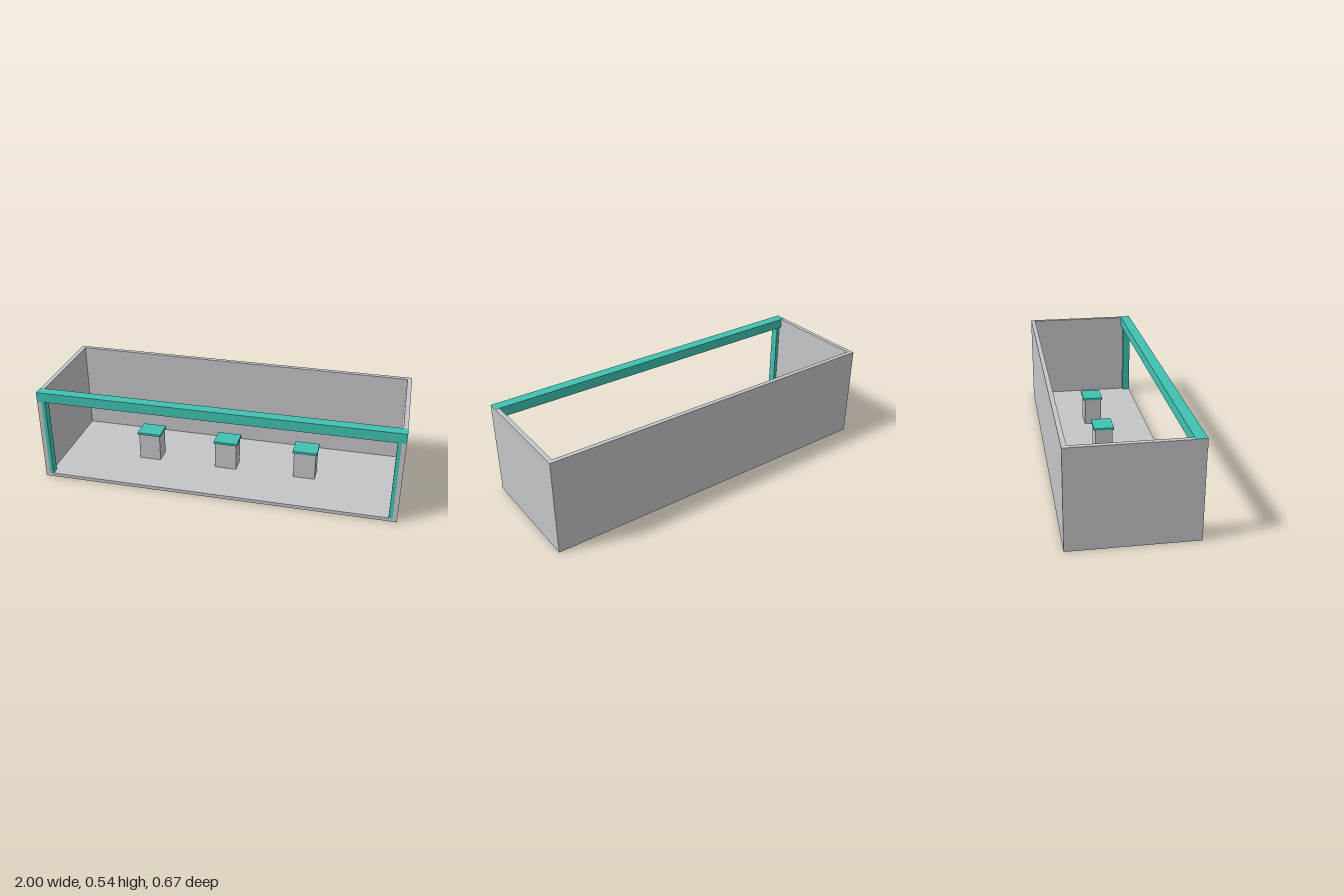
import * as THREE from 'three';

export function createModel() {
  const model = new THREE.Group();
  model.name = 'displayBooth';

  const grey = new THREE.MeshStandardMaterial({ color: 0xc4c5c9 });
  grey.name = 'wall grey';
  const teal = new THREE.MeshStandardMaterial({ color: 0x40c2b2 });
  teal.name = 'trim teal';

  // Box given by its minimum and maximum corners
  function box(name, material, [x0, y0, z0], [x1, y1, z1], parent = model) {
    const mesh = new THREE.Mesh(new THREE.BoxGeometry(x1 - x0, y1 - y0, z1 - z0), material);
    mesh.position.set((x0 + x1) / 2, (y0 + y1) / 2, (z0 + z1) / 2);
    mesh.name = name;
    parent.add(mesh);
    return mesh;
  }

  const H = 0.535, D = 0.333, T = 0.025, FLOOR = 0.02;

  // Open-topped shell with an open front
  box('floor', grey, [-1, 0, -D], [1, FLOOR, D]);
  box('backWall', grey, [-1 + T, FLOOR, -D], [1 - T, H, -D + T]);

  for (const side of [-1, 1]) {
    const label = side > 0 ? 'left' : 'right';
    const span = (a, b) => [Math.min(a * side, b * side), Math.max(a * side, b * side)];

    // Side wall
    const [w0, w1] = span(1 - T, 1);
    box(label + 'Wall', grey, [w0, FLOOR, -D], [w1, H, D]);

    // Front post against the inside of the wall
    const [p0, p1] = span(0.955, 1 - T);
    box(label + 'Post', teal, [p0, FLOOR, D - 0.045], [p1, 0.48, D]);
  }

  // Fascia beam across the top of the opening, just proud of the walls
  box('fasciaBeam', teal, [-0.9995, 0.48, 0.275], [0.9995, H + 0.001, D + 0.001]);

  // Row of display plinths with overhanging caps
  for (const x of [-0.46, 0, 0.46]) {
    const plinth = new THREE.Group();
    plinth.name = 'plinth';
    plinth.position.x = x;
    box('plinthBase', grey, [-0.0625, FLOOR, -0.05], [0.0625, 0.18, 0.05], plinth);
    box('plinthCap', teal, [-0.069, 0.18, -0.058], [0.069, 0.193, 0.058], plinth);
    model.add(plinth);
  }

  return model;
}
